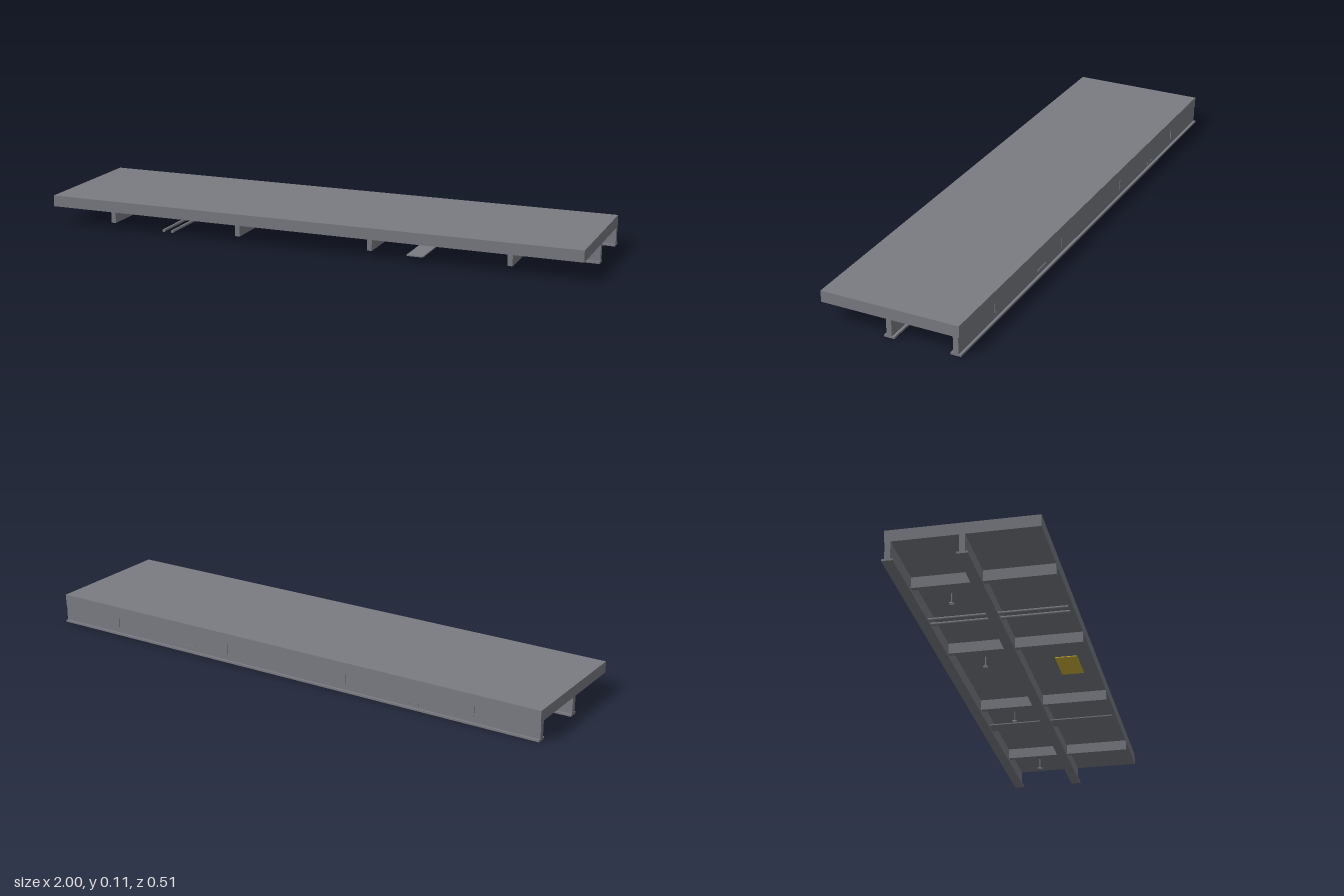
import * as THREE from 'three';

const concrete = new THREE.MeshStandardMaterial({ name: 'concrete grey', color: 0x7a7c82 });
const pale = new THREE.MeshStandardMaterial({ name: 'pale grey', color: 0xb4b6ba });
const yellow = new THREE.MeshStandardMaterial({ name: 'hatch yellow', color: 0xd0b63a });

const BACK = -0.247, FRONT = 0.254, DECK_BOTTOM = 0.067, DECK_TOP = 0.108;

// Box given by its lower and upper limits on each axis
function block(name, x, y, z, material = concrete) {
  const geometry = new THREE.BoxGeometry(x[1] - x[0], y[1] - y[0], z[1] - z[0]);
  const mesh = new THREE.Mesh(geometry, material);
  mesh.position.set((x[0] + x[1]) / 2, (y[0] + y[1]) / 2, (z[0] + z[1]) / 2);
  mesh.name = name;
  return mesh;
}

// Inverted T girder: web and bottom flange in one extruded section
function girder(z) {
  const web = 0.0095, flange = 0.0185, lip = 0.007;
  const section = new THREE.Shape([
    [-flange, 0], [flange, 0], [flange, lip], [web, lip],
    [web, DECK_BOTTOM], [-web, DECK_BOTTOM], [-web, lip], [-flange, lip],
  ].map(([a, b]) => new THREE.Vector2(a, b)));
  const geometry = new THREE.ExtrudeGeometry(section, { depth: 2, bevelEnabled: false });
  geometry.translate(0, 0, -1).rotateY(Math.PI / 2);
  const mesh = new THREE.Mesh(geometry, concrete);
  mesh.position.z = z;
  mesh.name = 'girder';
  return mesh;
}

// Pipe running from front to back
function pipe(x) {
  const geometry = new THREE.CylinderGeometry(0.0055, 0.0055, FRONT - BACK, 16).rotateX(Math.PI / 2);
  const mesh = new THREE.Mesh(geometry, concrete);
  mesh.position.set(x, 0.019, (FRONT + BACK) / 2);
  mesh.name = 'pipe';
  return mesh;
}

// Thin rod hanging from the deck with a small disc at its end
function hanger(x) {
  const group = new THREE.Group();
  group.name = 'hanger';
  const rod = new THREE.Mesh(new THREE.CylinderGeometry(0.002, 0.002, 0.04, 10), concrete);
  rod.name = 'hangerRod';
  rod.position.y = 0.047;
  const disc = new THREE.Mesh(new THREE.CylinderGeometry(0.009, 0.009, 0.002, 16), pale);
  disc.name = 'hangerDisc';
  disc.position.y = 0.027;
  group.add(rod, disc);
  group.position.set(x, 0, -0.121);
  return group;
}

export function createModel() {
  const model = new THREE.Group();
  model.name = 'deckSection';

  // Deck slab
  model.add(block('deck', [-1, 1], [DECK_BOTTOM, DECK_TOP], [BACK, FRONT]));

  // Two long girders
  for (const z of [0.0045, -0.2345]) model.add(girder(z));

  // Cross beams
  for (const x of [-0.75, -0.25, 0.25, 0.75]) {
    model.add(block('crossBeam', [x - 0.009, x + 0.009], [0.028, DECK_BOTTOM], [BACK, FRONT]));
  }

  // Services under the deck
  for (const x of [-0.545, -0.51]) model.add(pipe(x));
  model.add(block('cableTray', [0.385, 0.445], [0.024, 0.028], [BACK, FRONT]));
  for (const x of [-0.63, -0.13, 0.37, 0.87]) model.add(hanger(x));

  // Painted hatch on the underside
  model.add(block('hatch', [-0.075, 0.07], [0.064, DECK_BOTTOM], [0.12, 0.2], yellow));

  return model;
}
